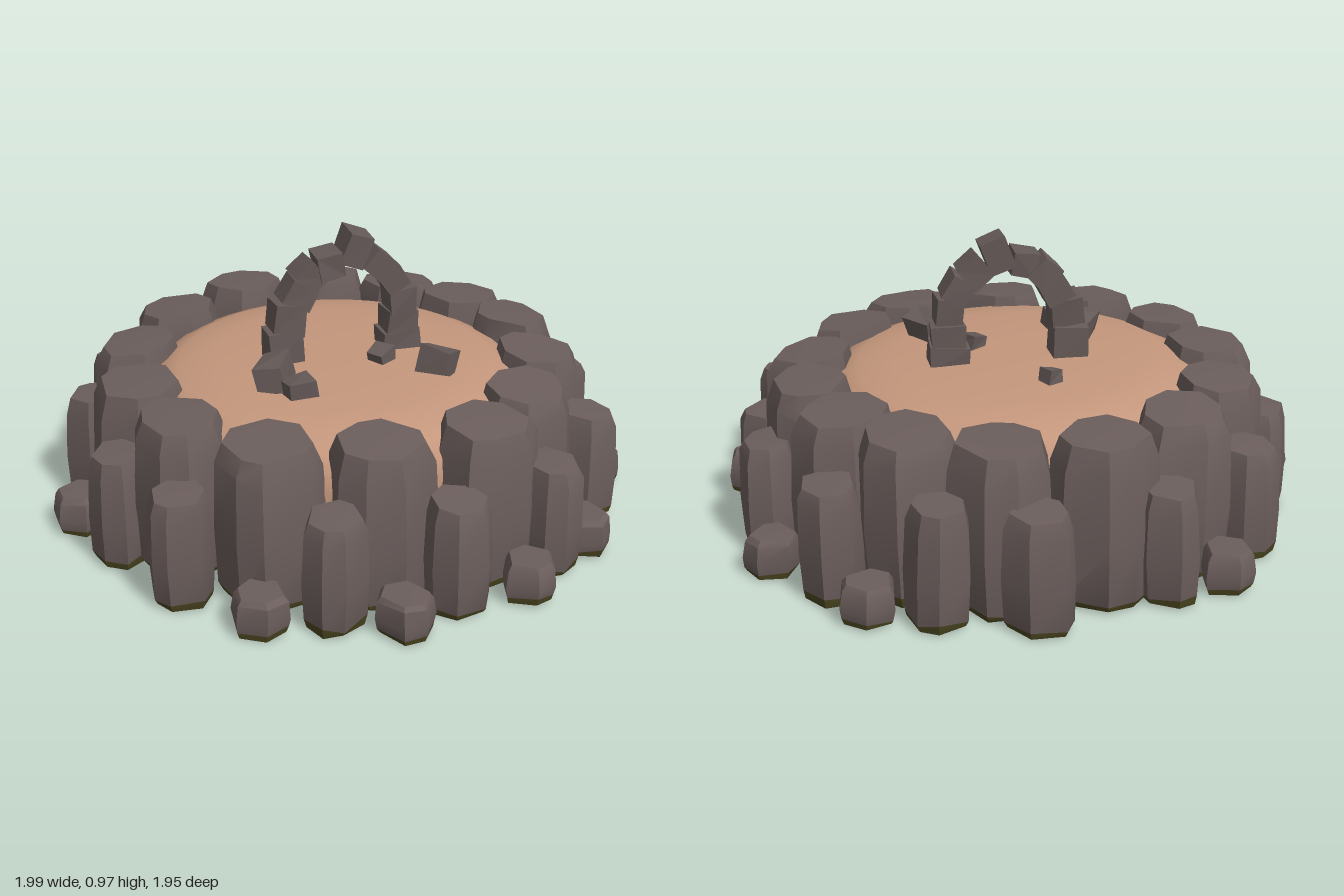
import * as THREE from 'three';
import { toCreasedNormals } from 'three/addons/utils/BufferGeometryUtils.js';

let seed = 7;
const rnd = () => (seed = (seed * 16807) % 2147483647) / 2147483647;
const jit = (s) => (rnd() * 2 - 1) * s;

const material = (name, color) => {
  const m = new THREE.MeshStandardMaterial({ color });
  m.name = name;
  return m;
};

// Upright boulder lofted from irregular rings; the lowest band is moss.
function boulderGeometry(x, z, rt, rr, h, sides) {
  const theta = Math.atan2(z, x), c = Math.cos(theta), s = Math.sin(theta);
  // [height, scale] per ring
  const rings = [[0, 0.88], [Math.min(0.032, h * 0.2), 0.96], [h * 0.42, 1.02], [h * 0.84, 0.95], [h, 0.79]];
  const angle = [], radius = [], pos = [], idx = [];
  for (let i = 0; i < sides; i++) {
    angle.push(((i + 0.5 + jit(0.22)) / sides) * Math.PI * 2);
    radius.push(1.03 + jit(0.08));
  }
  const put = (u, y, v) => pos.push(x + u * c - v * s, y, z + u * s + v * c);
  const leanV = jit(0.08) * rt, tilt = h * 0.03 + jit(h * 0.02);
  rings.forEach(([y, k], r) => {
    const t = y / h;
    for (let i = 0; i < sides; i++) {
      const kk = k * radius[i] * (1 + jit(0.025));
      const co = Math.cos(angle[i]), si = Math.sin(angle[i]);
      let yy = y;
      if (r === 0) yy = rnd() * 0.012;
      if (r === 1) yy += jit(0.01);
      if (r === 3) yy += jit(h * 0.035);
      if (r === 4) yy -= tilt * (co + 1) * 0.5 + rnd() * h * 0.015;
      put(co * rr * kk - t * 0.06 * rr, yy, si * rt * kk + t * leanV);
    }
  });
  const top = pos.length / 3;
  put(-0.06 * rr, h - tilt * 0.5, leanV);
  put(0, 0.006, 0);
  for (let r = 0; r < rings.length - 1; r++) {
    for (let i = 0; i < sides; i++) {
      const j = (i + 1) % sides, a = r * sides + i, b = r * sides + j;
      idx.push(a, a + sides, b, b, a + sides, b + sides);
    }
  }
  const last = (rings.length - 1) * sides;
  for (let i = 0; i < sides; i++) {
    const j = (i + 1) % sides;
    idx.push(top, last + j, last + i, top + 1, i, j);
  }
  const g = new THREE.BufferGeometry();
  g.setAttribute('position', new THREE.Float32BufferAttribute(pos, 3));
  g.setIndex(idx);
  g.addGroup(0, sides * 6, 1);
  g.addGroup(sides * 6, idx.length - sides * 6, 0);
  return toCreasedNormals(g, 0.5);
}

// Rough-hewn block: a box whose eight corners are nudged.
function blockGeometry(w, h, d, rough) {
  const g = new THREE.BoxGeometry(w, h, d).toNonIndexed();
  const p = g.attributes.position, corners = {};
  for (let i = 0; i < p.count; i++) {
    const key = [p.getX(i) > 0, p.getY(i) > 0, p.getZ(i) > 0].join();
    corners[key] ??= [jit(w * rough), jit(h * rough), jit(d * rough)];
    const o = corners[key];
    p.setXYZ(i, p.getX(i) + o[0], p.getY(i) + o[1], p.getZ(i) + o[2]);
  }
  g.computeVertexNormals();
  return g;
}

export function createModel() {
  seed = 7;
  const model = new THREE.Group();
  model.name = 'rockArena';
  const rock = material('rock', 0x6b5e5c);
  const moss = material('moss', 0x4a4520);
  const sand = material('sand', 0xc4977c);
  const ruin = material('archStone', 0x655a58);

  const add = (parent, name, geometry, mat) => {
    const mesh = new THREE.Mesh(geometry, mat);
    mesh.name = name;
    parent.add(mesh);
    return mesh;
  };
  const group = (name) => {
    const g = new THREE.Group();
    g.name = name;
    model.add(g);
    return g;
  };

  // Sand floor with a rounded rim
  const profile = [[0, 0.2], [0.6, 0.2], [0.65, 0.22], [0.665, 0.36], [0.65, 0.43], [0.61, 0.478],
    [0.54, 0.507], [0.42, 0.522], [0.2, 0.528], [0, 0.53]].map(([x, y]) => new THREE.Vector2(x, y));
  add(model, 'sandFloor', toCreasedNormals(new THREE.LatheGeometry(profile, 48), 0.6), sand);

  // Three tiers of boulders: tall ring, middle buttresses, low foot rocks
  const tiers = [
    { name: 'tallBoulder', rt: 0.168, rr: 0.152, h: 0.545, sides: 8, at: [
      [-0.14, -0.74], [0.17, -0.72], [0.44, -0.58], [0.62, -0.39], [0.72, -0.13], [0.69, 0.16], [0.53, 0.43],
      [0.28, 0.63], [-0.06, 0.66], [-0.4, 0.55], [-0.62, 0.28], [-0.69, -0.02], [-0.63, -0.33], [-0.42, -0.59]] },
    { name: 'middleBoulder', rt: 0.105, rr: 0.1, h: 0.39, sides: 7, at: [
      [-0.33, -0.8], [0.09, -0.89], [0.39, -0.8], [0.69, -0.59], [0.86, -0.22], [0.85, 0.02], [0.77, 0.4],
      [0.5, 0.68], [0.13, 0.8], [-0.27, 0.78], [-0.67, 0.5], [-0.81, 0.2], [-0.8, -0.28], [-0.66, -0.56]] },
    { name: 'footRock', rt: 0.088, rr: 0.085, h: 0.14, sides: 6, at: [
      [-0.91, -0.03], [-0.49, 0.74], [-0.07, 0.89], [0.36, 0.83], [0.66, 0.63], [0.91, 0.22], [0.87, -0.41],
      [0.6, -0.76], [-0.53, -0.78]] },
  ];
  for (const t of tiers) {
    const g = group(t.name + 's');
    t.at.forEach(([x, z]) => add(g, t.name,
      boulderGeometry(x, z, t.rt * (1 + jit(0.04)), t.rr, t.h * (1 + jit(0.015)), t.sides), [rock, moss]));
  }

  // Ruined arch: [x, y, width, height, roll]
  const arch = group('stoneArch');
  [[-0.18, 0.575, 0.12, 0.13, 0.05], [-0.17, 0.685, 0.105, 0.1, -0.15], [-0.13, 0.765, 0.1, 0.085, -0.5],
    [-0.09, 0.825, 0.095, 0.08, -0.85], [-0.025, 0.86, 0.085, 0.085, -1.4], [0.07, 0.9, 0.09, 0.12, -0.35],
    [0.145, 0.845, 0.09, 0.085, 0.85], [0.2, 0.785, 0.09, 0.085, 0.55], [0.23, 0.705, 0.095, 0.09, 0.1],
    [0.235, 0.62, 0.115, 0.09, -0.06], [0.235, 0.55, 0.13, 0.08, 0.05]]
    .forEach(([x, y, w, h, roll]) => {
      const b = add(arch, 'archBlock', blockGeometry(w, h, 0.105, 0.05), ruin);
      b.position.set(x, y, -0.025 + jit(0.008));
      b.rotation.z = roll;
    });

  // Fallen stones on the sand: [x, y, z, width, height, depth, turn, roll]
  const rubble = group('fallenStones');
  [[-0.26, 0.56, 0.14, 0.1, 0.085, 0.15, -0.5, 0.2], [-0.21, 0.545, 0.25, 0.09, 0.07, 0.08, 0.1, 0.15],
    [0.13, 0.545, 0.09, 0.07, 0.05, 0.07, 0.6, 0.15], [0.28, 0.565, 0.23, 0.09, 0.085, 0.12, 0.65, -0.3],
    [-0.07, 0.545, -0.27, 0.06, 0.045, 0.05, 0.5, 0.15]]
    .forEach(([x, y, z, w, h, d, turn, roll]) => {
      const b = add(rubble, 'fallenStone', blockGeometry(w, h, d, 0.09), ruin);
      b.position.set(x, y, z);
      b.rotation.set(0, turn, roll);
    });

  return model;
}
